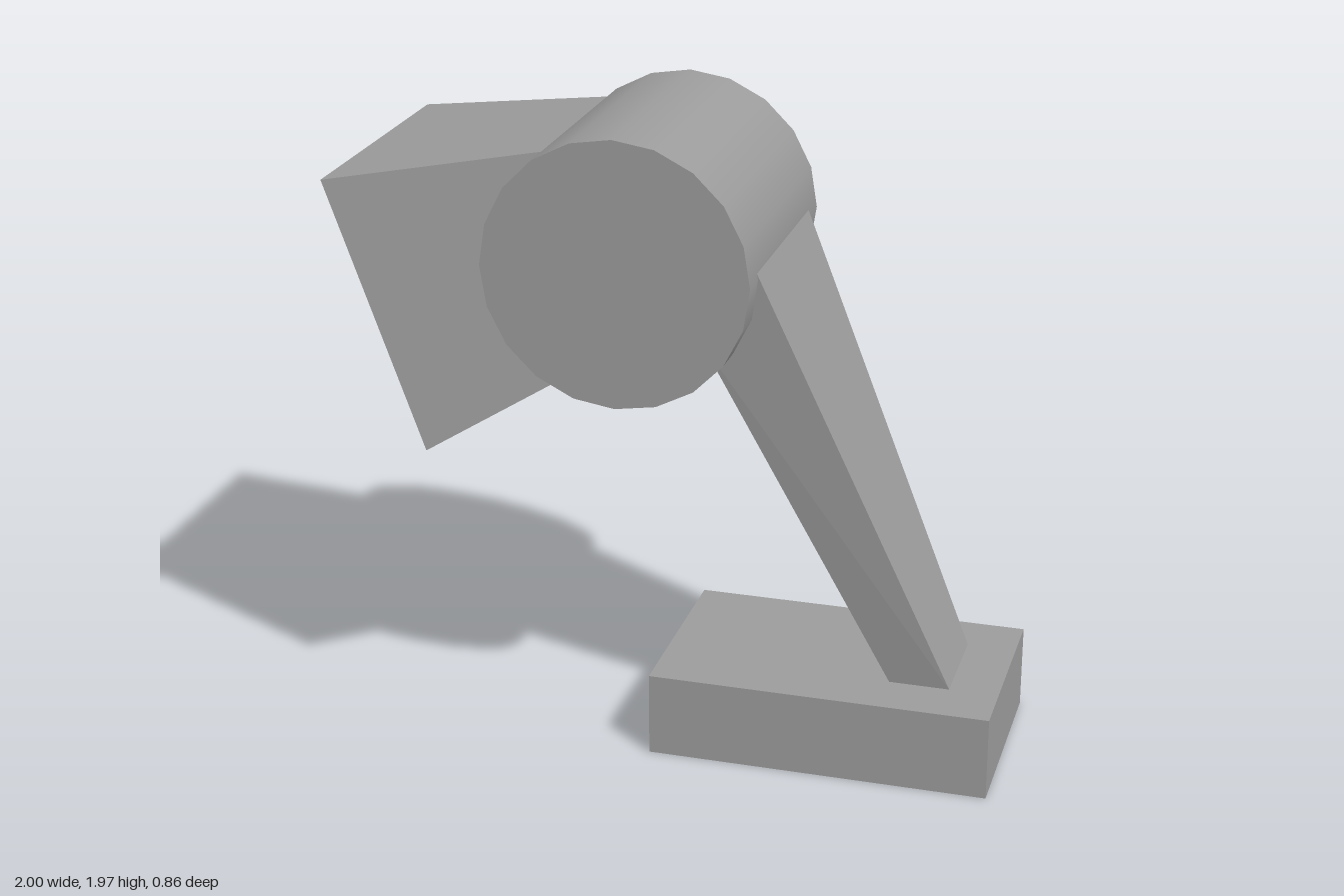
import * as THREE from 'three';

const grey = new THREE.MeshStandardMaterial({ color: 0x9c9c9c, side: THREE.DoubleSide });
grey.name = 'grey';

const MID = -0.01; // mid plane in z

// Four corners from an upper and a lower edge, each [x, y, half width]
const ring = (top, low) => [
  [top[0], top[1], MID + top[2]], [top[0], top[1], MID - top[2]],
  [low[0], low[1], MID - low[2]], [low[0], low[1], MID + low[2]],
];

// Point part of the way (or beyond) along a tapering edge
const along = (a, b, t) => a.map((v, i) => v + (b[i] - v) * t);

// Flat-faced mesh from four-cornered faces
function faces(name, quads) {
  const pos = [];
  for (const [a, b, c, d] of quads) pos.push(...a, ...b, ...c, ...a, ...c, ...d);
  const g = new THREE.BufferGeometry();
  g.setAttribute('position', new THREE.Float32BufferAttribute(pos, 3));
  g.computeVertexNormals();
  const m = new THREE.Mesh(g, grey);
  m.name = name;
  return m;
}

// Four walls joining two rings
const walls = (A, B) => A.map((p, i) => [p, B[i], B[(i + 1) % 4], A[(i + 1) % 4]]);

export function createModel() {
  const model = new THREE.Group();

  // Base block
  const base = new THREE.Mesh(new THREE.BoxGeometry(1.05, 0.262, 0.63), grey);
  base.name = 'base';
  base.position.set(0.475, 0.131, MID + 0.005);
  model.add(base);

  // Drum lying along z
  const drum = new THREE.Mesh(new THREE.CylinderGeometry(0.405, 0.405, 0.81, 20), grey);
  drum.name = 'drum';
  drum.rotation.x = Math.PI / 2;
  drum.position.set(-0.125, 1.568, -0.015);
  model.add(drum);

  // Tapered arm, running from inside the drum down to the base
  const frontLow = [0.85, 0.26, 0.156], frontHigh = [0.28, 1.58, 0.312];
  const backLow = [0.665, 0.26, 0.156], backHigh = [0.15, 1.28, 0.293];
  const armTop = ring(along(frontLow, frontHigh, 1.08), along(backLow, backHigh, 1.08));
  const armFoot = ring(frontLow, backLow);
  model.add(faces('arm', [...walls(armTop, armFoot), armTop, [...armFoot].reverse()]));

  // Flared hood, open at its wide end, with a recessed inner panel
  const lipTop = [-1, 1.793, 0.428], lipLow = [-0.705, 0.978, 0.428];
  const rootTop = [-0.36, 1.896, 0.312], rootLow = [-0.31, 1.212, 0.338];
  const mouth = ring(lipTop, lipLow);
  const root = ring(along(lipTop, rootTop, 1.1), along(lipLow, rootLow, 1.1));
  model.add(faces('hood', walls(mouth, root)));
  const panel = ring(along(lipTop, rootTop, 0.44), along(lipLow, rootLow, 0.61));
  model.add(faces('hoodPanel', [panel]));

  return model;
}
